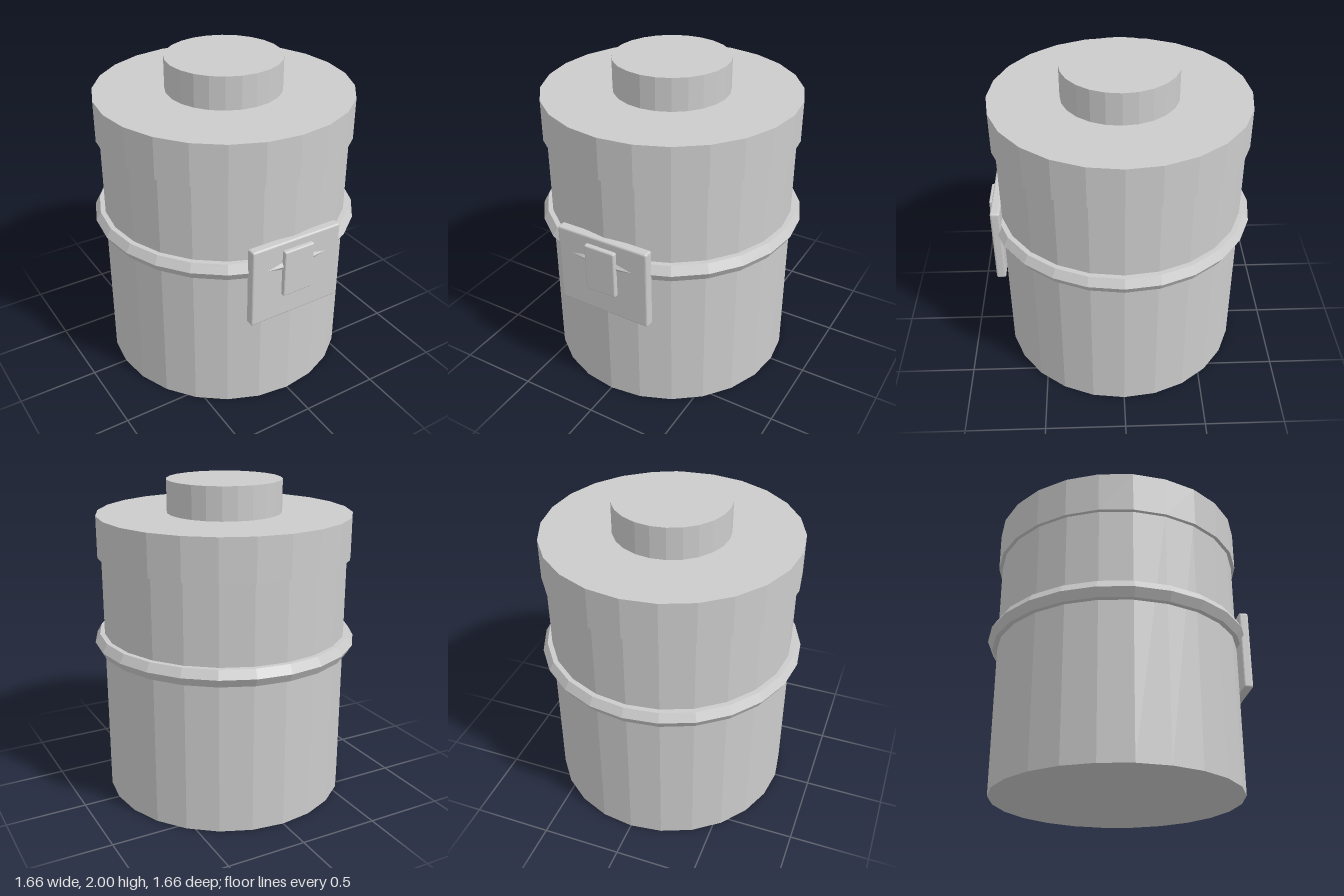
import * as THREE from 'three';
import { RoundedBoxGeometry } from 'three/addons/geometries/RoundedBoxGeometry.js';

const SIDES = 24;

export function createModel() {
  const model = new THREE.Group();
  model.name = 'canister';
  const grey = new THREE.MeshStandardMaterial({ color: 0xcccccc, flatShading: true });
  grey.name = 'light grey';

  const add = (name, geometry, x, y, z) => {
    const mesh = new THREE.Mesh(geometry, grey);
    mesh.name = name;
    mesh.position.set(x, y, z);
    model.add(mesh);
  };

  // Faceted drum standing between two heights
  const drum = (name, radius, bottom, top) =>
    add(name, new THREE.CylinderGeometry(radius, radius, top - bottom, SIDES), 0, (bottom + top) / 2, 0);

  drum('body', 0.77, 0, 1.54);
  drum('lid', 0.793, 1.54, 1.797);
  drum('knob', 0.358, 1.797, 2);

  // Hexagonal band around the middle
  const band = new THREE.TorusGeometry(0.77, 0.061, 6, SIDES).rotateX(Math.PI / 2);
  add('band', band, 0, 1, 0);

  // Front clasp: back plate with a smaller latch, both with softened edges
  add('claspPlate', new RoundedBoxGeometry(0.61, 0.51, 0.06, 2, 0.012), 0, 0.9, 0.774);
  add('claspLatch', new RoundedBoxGeometry(0.205, 0.305, 0.04, 2, 0.01), 0, 0.952, 0.811);

  return model;
}
